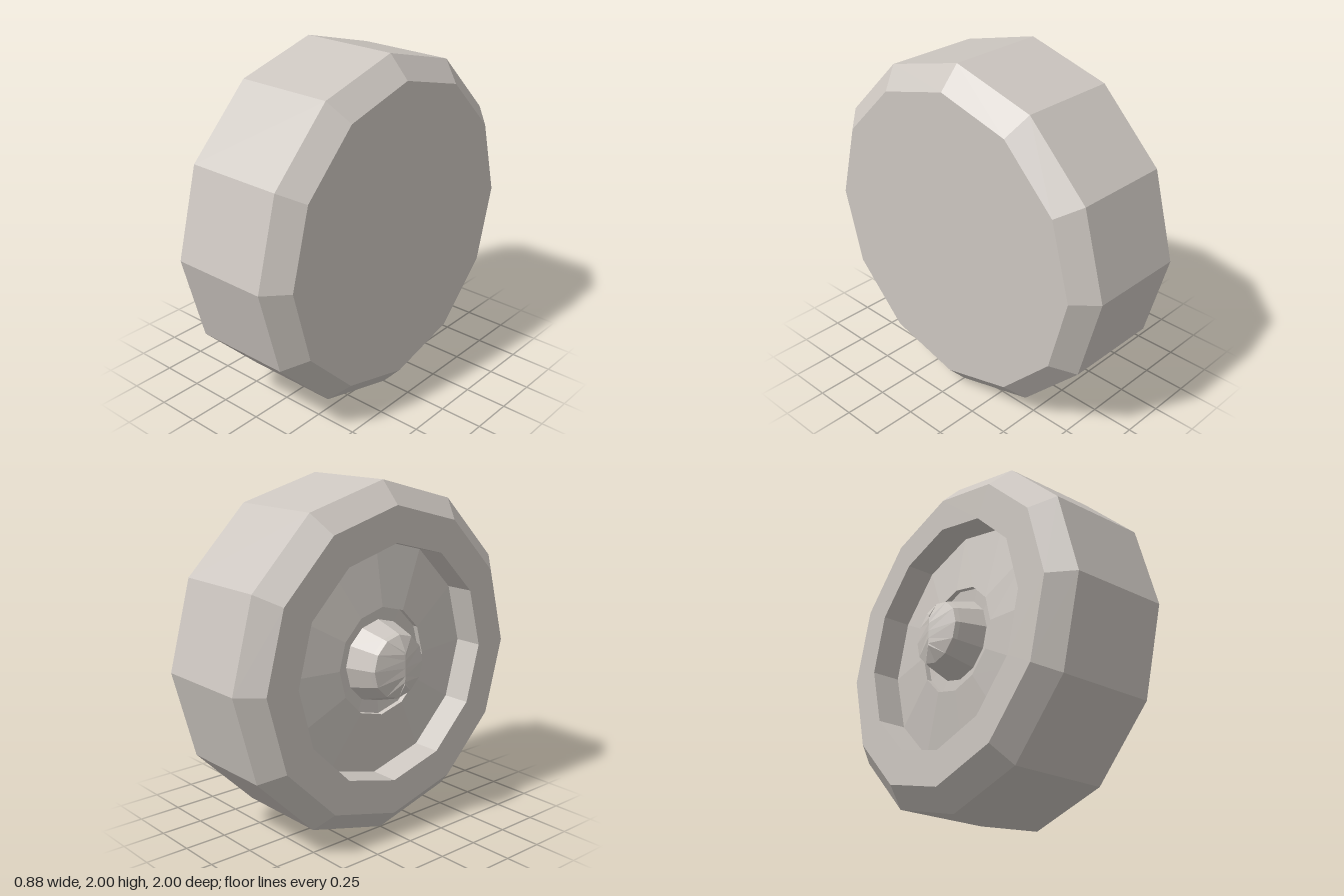
import * as THREE from 'three';

const SIDES = 12;

export function createModel() {
  const group = new THREE.Group();
  group.name = 'wheel';
  const paleGrey = new THREE.MeshStandardMaterial({ color: 0xccc6c0, flatShading: true });
  paleGrey.name = 'paleGrey';

  // Turn a [radius, x] profile about the x axis
  function turned(name, profile) {
    const points = profile.map(([r, x]) => new THREE.Vector2(r, x));
    const geometry = new THREE.LatheGeometry(points, SIDES);
    const mesh = new THREE.Mesh(geometry, paleGrey);
    mesh.name = name;
    mesh.rotation.z = -Math.PI / 2;
    mesh.position.y = 1;
    group.add(mesh);
    return mesh;
  }

  // Chamfered tread with a flat inner cap
  turned('tyre', [
    [0.675, -0.365], [0.875, -0.365], [1, -0.25], [1, 0.32], [0.875, 0.435], [0, 0.435],
  ]);

  // Recessed dish, rising slightly towards the hub well
  turned('rim', [
    [0.235, -0.22], [0.31, -0.225], [0.31, -0.255], [0.675, -0.195], [0.675, -0.365],
  ]);

  // Tapered hub
  turned('hub', [[0.18, -0.39], [0.19, -0.365], [0.235, -0.22]]);

  // Hub cap pinched to an upright ridge
  const cap = turned('hubCap', [[0.09, -0.44], [0.18, -0.39]]);
  const position = cap.geometry.attributes.position;
  for (let i = 0; i < position.count; i++) {
    if (position.getY(i) < -0.43) position.setZ(i, 0);
  }
  cap.geometry.computeVertexNormals();

  return group;
}
